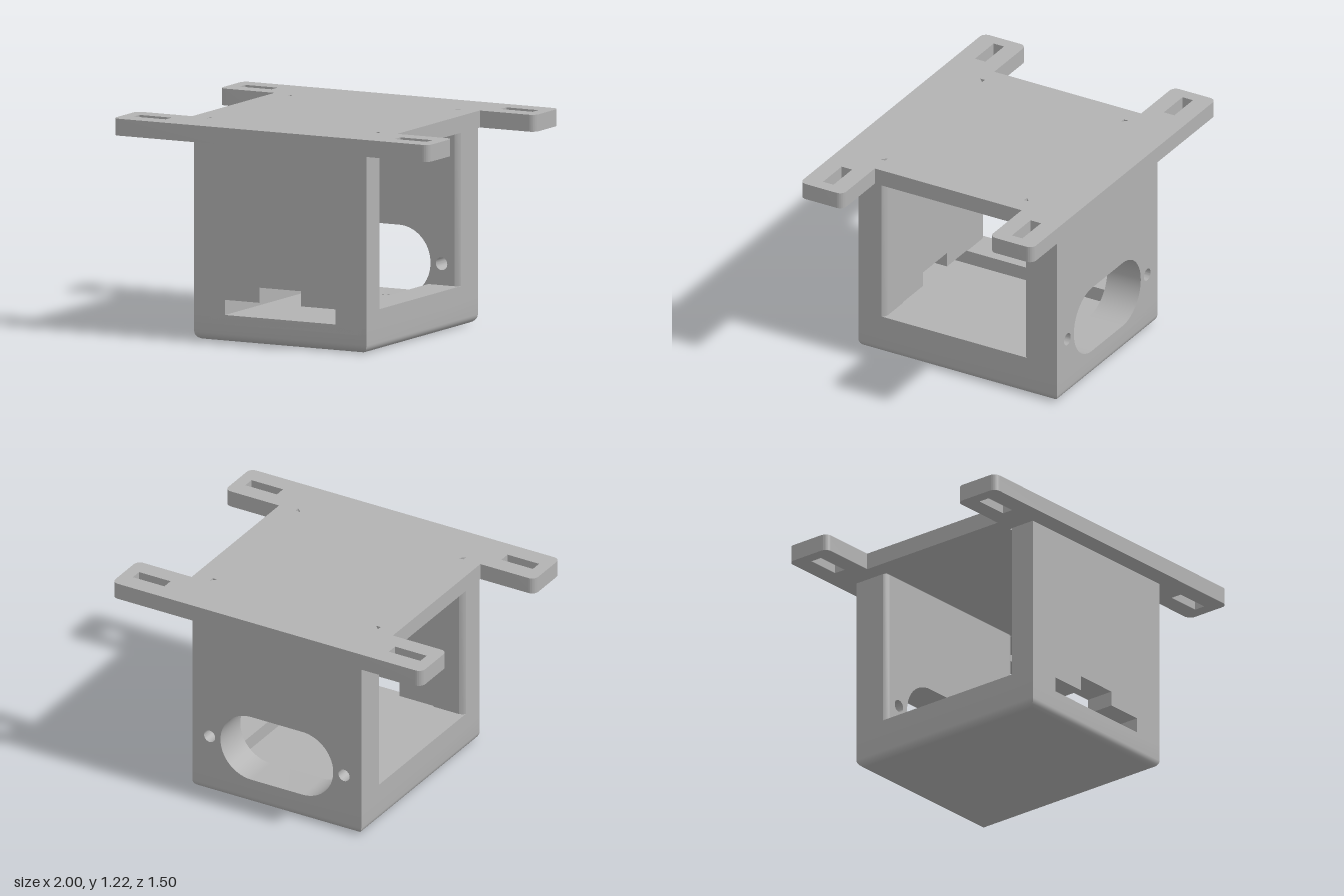
import * as THREE from 'three';
import { toCreasedNormals } from 'three/addons/utils/BufferGeometryUtils.js';

const HX = 0.545, HZ = 0.64;          // half width and depth of the box
const FLOOR = 0.15, SILL = 0.23, PLATE = 1.125, TOP = 1.22;
const FRONT_IN = 0.47, BACK_IN = -0.425, CH = 0.03; // inner wall faces, edge chamfer

const poly = (pts, Type = THREE.Path) => new Type(pts.map(([x, y]) => new THREE.Vector2(x, y)));
const rect = (x0, y0, x1, y1, Type) => poly([[x0, y0], [x1, y0], [x1, y1], [x0, y1]], Type);

function extrude(shape, depth) {
  const g = new THREE.ExtrudeGeometry(shape, { depth, bevelEnabled: false, curveSegments: 20 });
  return toCreasedNormals(g, 0.6);
}

// Extrudes a plan drawn in (x, -z) upward from y0 to y1
function extrudeUp(shape, y0, y1) {
  return extrude(shape, y1 - y0).rotateX(-Math.PI / 2).translate(0, y0, 0);
}

// Slab with a rounded bottom edge, built from stacked rectangles
function roundedBase(r, height) {
  const rings = [];
  const n = 8;
  for (let i = 0; i <= n; i++) {
    const a = (i / n) * Math.PI / 2;
    rings.push([r * (1 - Math.cos(a)), r * (1 - Math.sin(a))]);
  }
  rings.push([height, 0]);
  const pos = [], idx = [];
  for (const [y, inset] of rings) {
    const x = HX - inset, z = HZ - inset;
    pos.push(-x, y, z, x, y, z, x, y, -z, -x, y, -z);
  }
  for (let i = 0; i < rings.length - 1; i++) {
    for (let j = 0; j < 4; j++) {
      const a = i * 4 + j, b = i * 4 + (j + 1) % 4;
      idx.push(a, b, b + 4, a, b + 4, a + 4);
    }
  }
  const t = (rings.length - 1) * 4;
  idx.push(0, 2, 1, 0, 3, 2, t, t + 1, t + 2, t, t + 2, t + 3);
  const g = new THREE.BufferGeometry();
  g.setAttribute('position', new THREE.Float32BufferAttribute(pos, 3));
  g.setIndex(idx);
  return toCreasedNormals(g, 0.6);
}

// Mounting plate: H outline with rounded arm ends, screw slots and corner reliefs
function plateGeometry() {
  const w = 1, d = 0.75, inner = 0.473, neck = 0.65, r = 0.04;
  const s = new THREE.Shape();
  s.moveTo(-w + r, -d);
  s.lineTo(w - r, -d);
  s.absarc(w - r, -d + r, r, -Math.PI / 2, 0);
  s.lineTo(w, -inner - r);
  s.absarc(w - r, -inner - r, r, 0, Math.PI / 2);
  s.lineTo(neck, -inner);
  s.lineTo(neck, inner);
  s.lineTo(w - r, inner);
  s.absarc(w - r, inner + r, r, -Math.PI / 2, 0);
  s.lineTo(w, d - r);
  s.absarc(w - r, d - r, r, 0, Math.PI / 2);
  s.lineTo(-w + r, d);
  s.absarc(-w + r, d - r, r, Math.PI / 2, Math.PI);
  s.lineTo(-w, inner + r);
  s.absarc(-w + r, inner + r, r, Math.PI, Math.PI * 1.5);
  s.lineTo(-neck, inner);
  s.lineTo(-neck, -inner);
  s.lineTo(-w + r, -inner);
  s.absarc(-w + r, -inner - r, r, Math.PI / 2, Math.PI);
  s.lineTo(-w, -d + r);
  s.absarc(-w + r, -d + r, r, Math.PI, Math.PI * 1.5);
  for (const sx of [-1, 1]) {
    for (const sz of [-1, 1]) {
      s.holes.push(rect(sx * 0.725, sz * 0.575, sx * 0.928, sz * 0.642));
      const z = sz > 0 ? FRONT_IN : BACK_IN, x = sx * (HX - 0.003);
      s.holes.push(poly([[x, -z], [x - sx * CH, -z], [x, -z - sz * CH]]));
    }
  }
  return extrudeUp(s, PLATE, TOP);
}

export function createModel() {
  const model = new THREE.Group();
  model.name = 'mountingBox';
  const grey = new THREE.MeshStandardMaterial({ color: 0xb2b2b2 });
  grey.name = 'plain grey';
  const add = (name, geometry) => {
    const m = new THREE.Mesh(geometry, grey);
    m.name = name;
    model.add(m);
    return m;
  };

  add('base', roundedBase(0.045, FLOOR));
  add('mountingPlate', plateGeometry());

  const wx = HX - CH;

  // Front wall with a stepped cable slot
  const front = rect(-wx, 0.1, wx, PLATE, THREE.Shape);
  front.holes.push(poly([[-0.35, FLOOR], [0.35, FLOOR], [0.35, 0.235], [0.13, 0.235],
    [0.13, 0.32], [-0.13, 0.32], [-0.13, 0.235], [-0.35, 0.235]]));
  add('frontWall', extrude(front, HZ - FRONT_IN).translate(0, 0, FRONT_IN));

  // Back wall with an oblong opening and two screw holes
  const back = rect(-wx, 0.1, wx, PLATE, THREE.Shape);
  const oblong = new THREE.Path();
  oblong.absarc(0.165, 0.35, 0.199, -Math.PI / 2, Math.PI / 2);
  oblong.absarc(-0.165, 0.35, 0.199, Math.PI / 2, Math.PI * 1.5);
  oblong.closePath();
  back.holes.push(oblong);
  for (const sx of [-1, 1]) {
    back.holes.push(new THREE.Path().absarc(sx * 0.434, 0.35, 0.036, 0, Math.PI * 2));
  }
  add('backWall', extrude(back, HZ + BACK_IN).translate(0, 0, -HZ));

  // Side sills and chamfered wall ends
  for (const sx of [-1, 1]) {
    const side = sx > 0 ? 'left' : 'right';
    const sill = new THREE.BoxGeometry(HX - 0.35, SILL - FLOOR, HZ * 2);
    add(side + 'Sill', sill.translate(sx * (HX + 0.35) / 2, (SILL + FLOOR) / 2, 0));
    for (const sz of [-1, 1]) {
      const z = sz > 0 ? FRONT_IN : BACK_IN;
      const c = CH * 0.7;
      const plan = poly([[sx * wx, -z], [sx * (wx + 0.02), -z - sz * c * 0.4],
        [sx * HX, -z - sz * c], [sx * HX, -sz * HZ], [sx * wx, -sz * HZ]], THREE.Shape);
      add(side + (sz > 0 ? 'FrontPost' : 'BackPost'), extrudeUp(plan, SILL, PLATE));
    }
  }
  return model;
}
